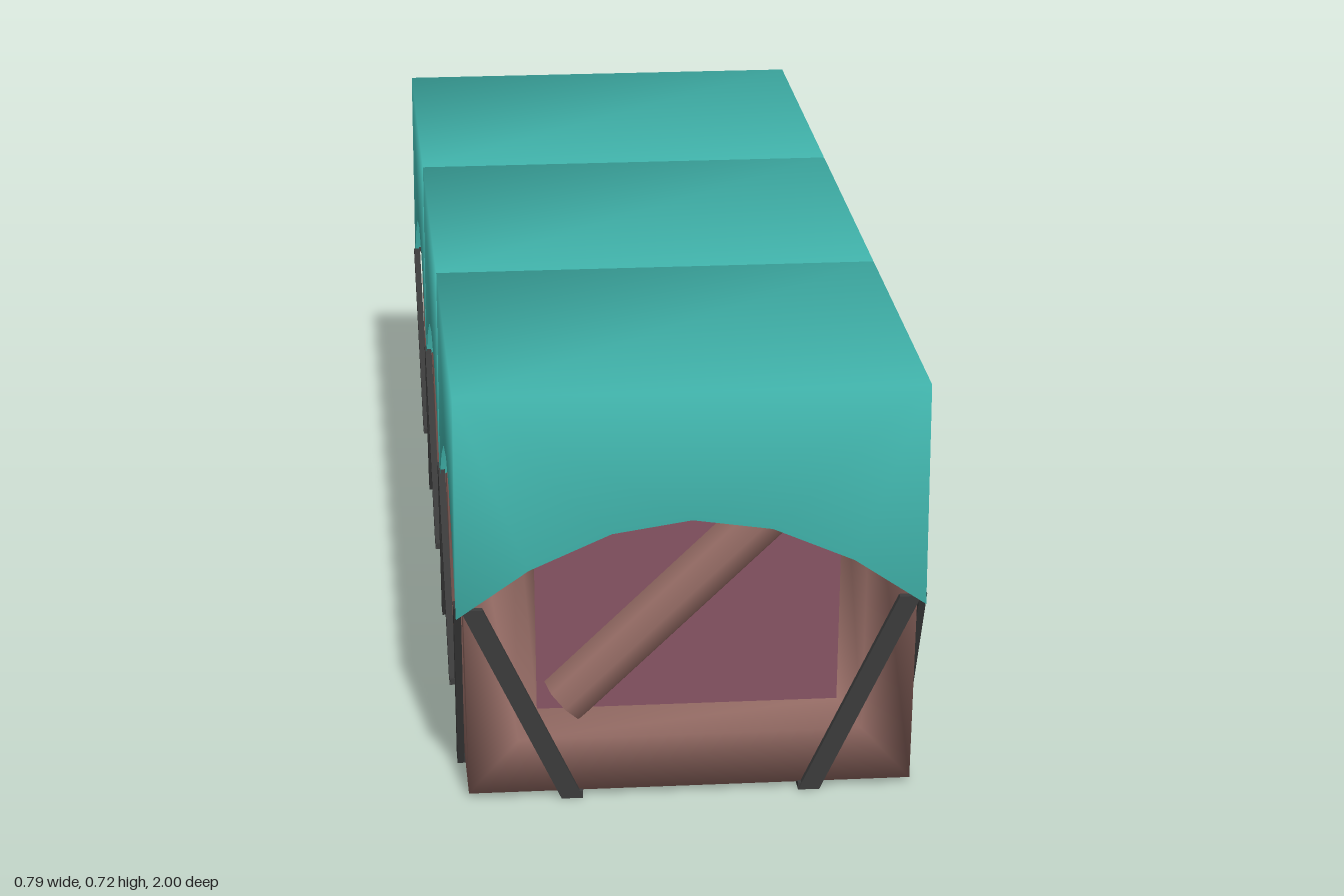
import * as THREE from 'three';
import { mergeVertices } from 'three/addons/utils/BufferGeometryUtils.js';

const mat = (color) => new THREE.MeshStandardMaterial({ color, side: THREE.DoubleSide });
const MATS = {
  cloth: mat(0x3fb0a8), wood: mat(0x946b64), panel: mat(0x885464), strap: mat(0x3c3c3c),
};
const HX = 0.373, HZ = 0.98, Y0 = 0.01, Y1 = 0.69;

// The four walls: turn about y, distance from the centre, bay half width, bay centres
const CELL = HZ / 3;
const WALLS = [
  { name: 'front', turn: 0, dist: HZ, half: HX, bays: [0], inner: 0.253 },
  { name: 'back', turn: Math.PI, dist: HZ, half: HX, bays: [0], inner: 0.253 },
  { name: 'left', turn: Math.PI / 2, dist: HX, half: CELL, bays: [-2 * CELL, 0, 2 * CELL], inner: 0.22 },
  { name: 'right', turn: -Math.PI / 2, dist: HX, half: CELL, bays: [-2 * CELL, 0, 2 * CELL], inner: 0.22 },
];
const UP = new THREE.Vector3(0, 1, 0);
// wall coordinates (along, height, outward) to model space
const onWall = (wall, u, y, w) => new THREE.Vector3(u, y, w).applyAxisAngle(UP, wall.turn);
// walls lean slightly outward towards the top
const lean = (p) => new THREE.Vector3(p.x * (1 + 0.04 * p.y), p.y, p.z * (1 + 0.015 * p.y));

// Triangle list with welded, smooth corners
function surface(tris) {
  const g = new THREE.BufferGeometry().setFromPoints(tris);
  const welded = mergeVertices(g, 1e-4);
  welded.computeVertexNormals();
  return welded;
}
const quad = (list, a, b, c, d) => list.push(a, b, c, a, c, d);

function add(group, name, geometry, material) {
  const mesh = new THREE.Mesh(geometry, material);
  mesh.name = name;
  group.add(mesh);
  return mesh;
}

// Box running from p to q with the given cross-section vectors
function bar(p, q, side, depth) {
  const along = q.clone().sub(p);
  if (new THREE.Vector3().crossVectors(side, along).dot(depth) < 0) side = side.clone().negate();
  const m = new THREE.Matrix4().makeBasis(side, along, depth);
  m.setPosition(p.clone().add(q).multiplyScalar(0.5));
  return new THREE.BoxGeometry(1, 1, 1).applyMatrix4(m);
}

// Wooden frame with recessed bays, and the panels behind them
function buildBody(group) {
  const frame = [], panels = [];
  for (const wall of WALLS) {
    for (const c of wall.bays) {
      const rect = (half, lo, hi, depth) => [[-1, lo], [1, lo], [1, hi], [-1, hi]]
        .map(([s, y]) => lean(onWall(wall, c + s * half, y, wall.dist - depth)));
      const rings = [
        rect(wall.half, Y0, Y1, 0),
        rect(wall.inner + 0.035, 0.105, 0.62, 0),
        rect(wall.inner, 0.135, 0.59, 0.06),
      ];
      for (let r = 0; r < 2; r++) {
        for (let i = 0; i < 4; i++) {
          const j = (i + 1) % 4;
          quad(frame, rings[r][i], rings[r][j], rings[r + 1][j], rings[r + 1][i]);
        }
      }
      quad(panels, ...rings[2]);
    }
  }
  // floor and top boards
  for (let i = 0; i < 3; i++) {
    const z0 = -HZ + i * 2 * CELL, z1 = z0 + 2 * CELL;
    const v = (x, y, z) => lean(new THREE.Vector3(x, y, z));
    quad(frame, v(-HX, Y0, z0), v(HX, Y0, z0), v(HX, Y0, z1), v(-HX, Y0, z1));
    quad(frame, v(-HX, Y1, z1), v(HX, Y1, z1), v(HX, Y1, z0), v(-HX, Y1, z0));
  }
  add(group, 'woodenFrame', surface(frame), MATS.wood);
  add(group, 'recessedPanels', surface(panels), MATS.panel);

  // diagonal brace on each end
  for (const wall of WALLS.slice(0, 2)) {
    const a = onWall(wall, -0.21, 0.155, HZ - 0.05), b = onWall(wall, 0.25, 0.595, HZ - 0.05);
    const dir = b.clone().sub(a);
    const brace = add(group, wall.name + 'Brace', new THREE.CylinderGeometry(0.046, 0.046, dir.length(), 8), MATS.wood);
    brace.position.copy(a).add(b).multiplyScalar(0.5);
    brace.quaternion.setFromUnitVectors(UP, dir.normalize());
  }
}

// Cloth cover: flat top and four walls cut with an arched hem
const HEM = [[-1, 0.335], [-0.69, 0.418], [-0.34, 0.478], [0, 0.498], [0.34, 0.478], [0.69, 0.418], [1, 0.335]];
function coverGeometry(hx, hz, top) {
  const tris = [];
  const v = (x, y, z) => new THREE.Vector3(x, y, z);
  quad(tris, v(-hx, top, hz), v(hx, top, hz), v(hx, top, -hz), v(-hx, top, -hz));
  for (const wall of WALLS) {
    const [hu, w] = wall.dist === HZ ? [hx, hz] : [hz, hx];
    const hem = HEM.map(([u, y]) => onWall(wall, u * hu, y, w));
    const tl = onWall(wall, -hu, top, w), tr = onWall(wall, hu, top, w);
    for (let i = 0; i < 6; i++) tris.push(hem[i], hem[i + 1], i < 3 ? tl : tr);
    tris.push(tl, hem[3], tr);
  }
  return surface(tris);
}

// Straps run from the cover corners down the wall and hook under the floor
function buildStraps(group) {
  for (const wall of WALLS) {
    const long = wall.bays.length === 3;
    const face = long ? 0.388 : 0.994;
    const side = onWall(wall, 0.036, 0, 0), out = onWall(wall, 0, 0, 0.012);
    for (const c of wall.bays) {
      for (const s of [-1, 1]) {
        const uTop = c + s * (long ? 0.318 : 0.365), uLow = c + s * (long ? 0.165 : 0.2);
        const a = onWall(wall, uTop, 0.35, face);
        const b = onWall(wall, uLow, 0, face - 0.008);
        const k = onWall(wall, uLow, 0.006, face - 0.004);
        const e = onWall(wall, uLow, 0.006, face - 0.09);
        add(group, wall.name + 'Strap', bar(a, b, side, out), MATS.strap);
        add(group, wall.name + 'StrapHook', bar(k, e, side, new THREE.Vector3(0, 0.012, 0)), MATS.strap);
      }
    }
  }
}

export function createModel() {
  const model = new THREE.Group();
  model.name = 'coveredCrate';

  const body = new THREE.Group();
  body.name = 'crateBody';
  buildBody(body);

  const covers = new THREE.Group();
  covers.name = 'clothCovers';
  const cover = coverGeometry(0.391, 0.331, 0.722);
  for (const z of [-0.669, 0, 0.669]) add(covers, 'clothCover', cover, MATS.cloth).position.z = z;

  const straps = new THREE.Group();
  straps.name = 'straps';
  buildStraps(straps);

  model.add(body, covers, straps);
  return model;
}
